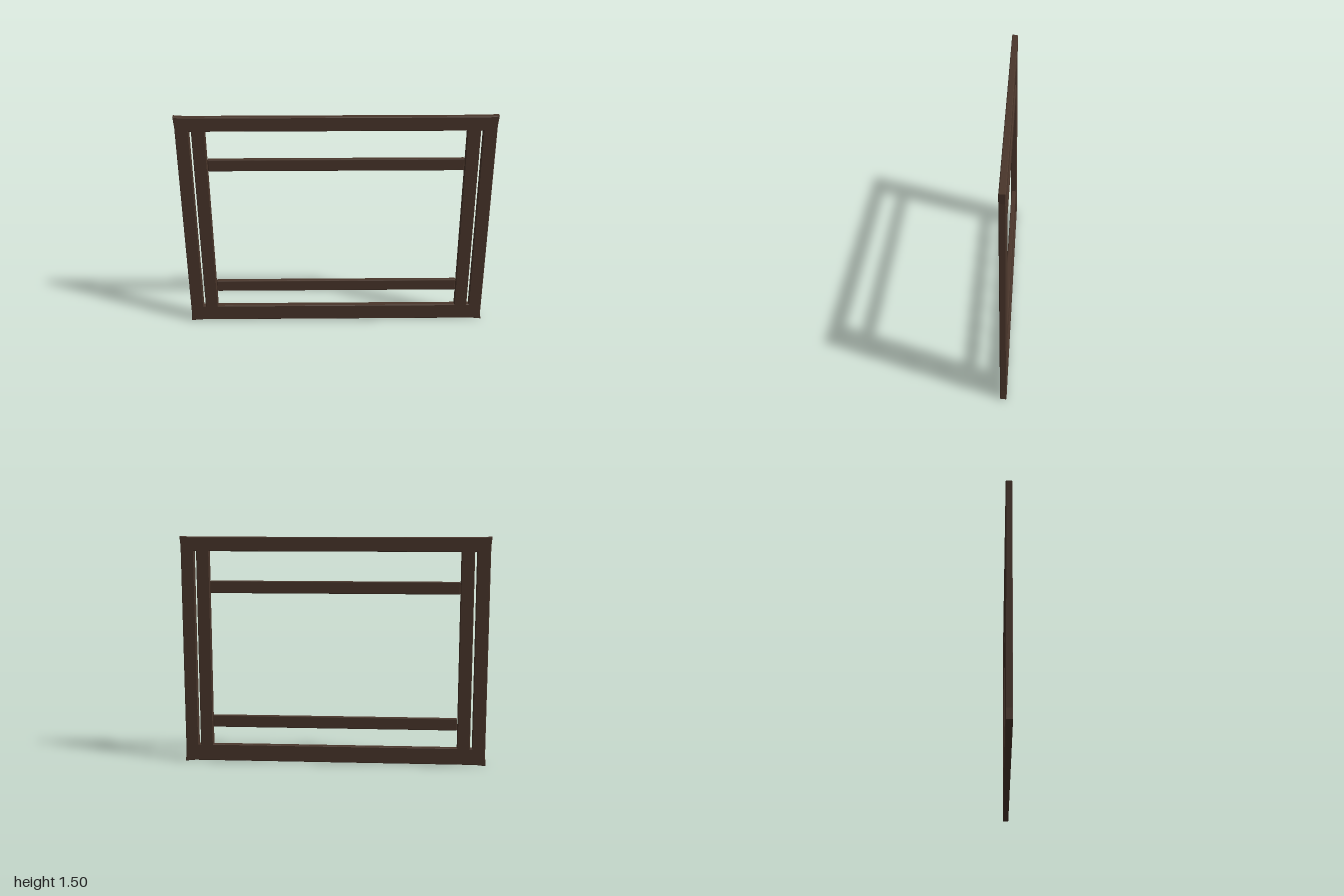
import * as THREE from 'three';
import { RoundedBoxGeometry } from 'three/addons/geometries/RoundedBoxGeometry.js';

const DEPTH = 0.04;
const BEVEL = 0.004;

// Closed rectangular path used for the openings
function rectPath(x0, x1, y0, y1) {
  return new THREE.Path([[x0, y0], [x0, y1], [x1, y1], [x1, y0]].map(([x, y]) => new THREE.Vector2(x, y)));
}

// Outer outline with corners flaring slightly outwards
function outline() {
  const x = 0.994, y0 = 0.007, y1 = 1.495, run = 0.06;
  return new THREE.Shape([
    [-1, 0], [-x + run, y0], [x - run, y0], [1, 0],
    [x, y0 + run], [x, y1 - run], [1, 1.5],
    [x - run, y1], [-x + run, y1], [-1, 1.5],
    [-x, y1 - run], [-x, y0 + run],
  ].map(([x, y]) => new THREE.Vector2(x, y)));
}

export function createModel() {
  const model = new THREE.Group();
  model.name = 'windowFrame';
  const wood = new THREE.MeshStandardMaterial({ color: 0x4a362b });

  // Frame with the main opening and a narrow slot in each stile
  const shape = outline();
  shape.holes.push(rectPath(-0.81, 0.81, 0.118, 1.403));
  for (const [x0, x1] of [[-0.909, -0.894], [0.894, 0.909]]) {
    shape.holes.push(rectPath(x0, x1, 0.118, 1.403));
  }
  const geometry = new THREE.ExtrudeGeometry(shape, {
    depth: DEPTH - 2 * BEVEL,
    bevelEnabled: true,
    bevelThickness: BEVEL,
    bevelSize: BEVEL,
    bevelOffset: -BEVEL,
    bevelSegments: 1,
  });
  geometry.translate(0, 0, -DEPTH / 2 + BEVEL);
  const frame = new THREE.Mesh(geometry, wood);
  frame.name = 'frame';
  model.add(frame);

  // Horizontal rails, set slightly back from both faces
  for (const [name, y] of [['lowerRail', 0.277], ['upperRail', 1.172]]) {
    const rail = new THREE.Mesh(new RoundedBoxGeometry(1.614, 0.08, 0.03, 2, 0.006), wood);
    rail.name = name;
    rail.position.y = y;
    model.add(rail);
  }

  return model;
}
